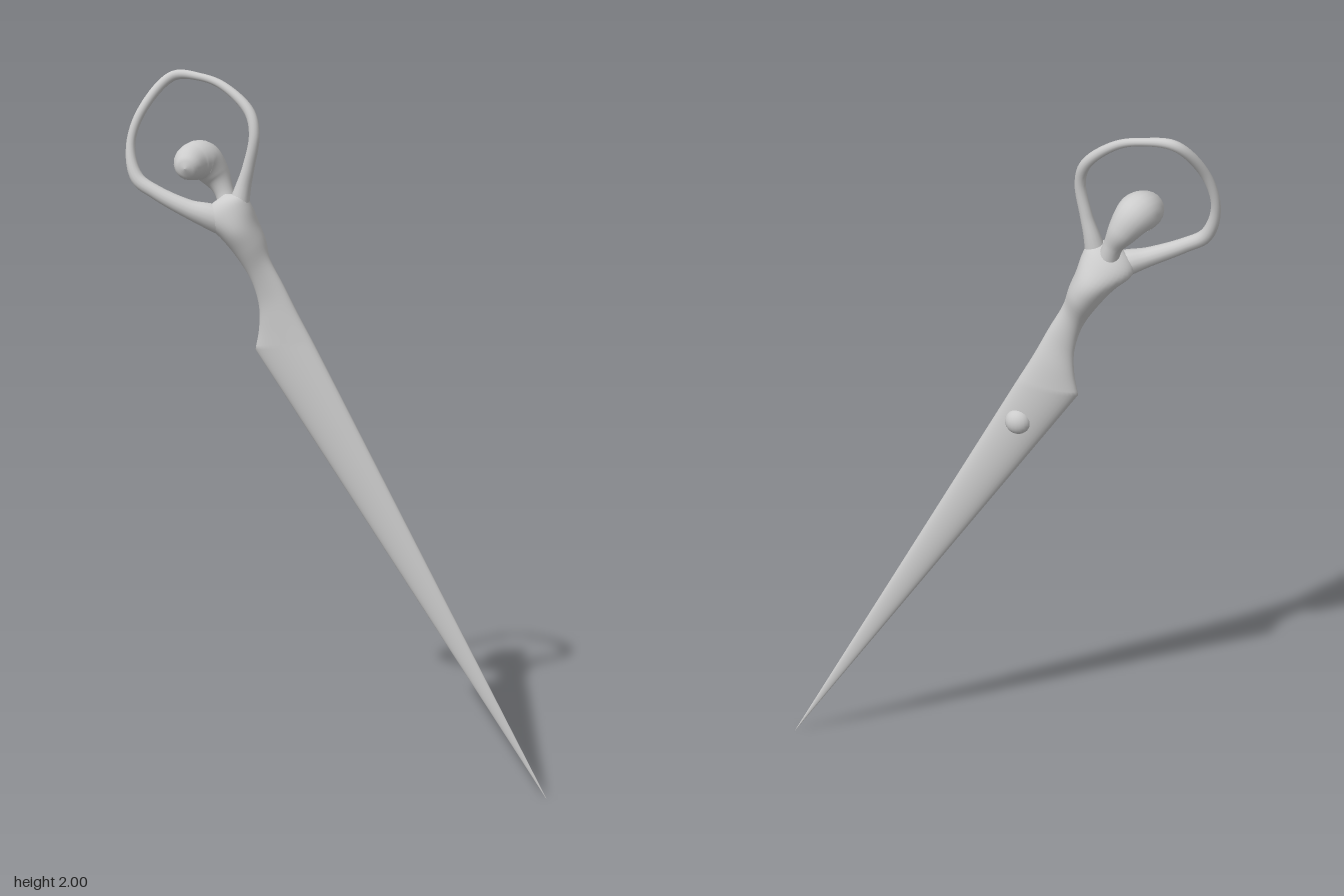
import * as THREE from 'three';
import { mergeVertices } from 'three/addons/utils/BufferGeometryUtils.js';

const V = (x, y, z) => new THREE.Vector3(x, y, z);
const material = new THREE.MeshStandardMaterial({ color: 0xcccccc });

function mesh(name, geometry) {
  const m = new THREE.Mesh(geometry, material);
  m.name = name;
  return m;
}

// Round limb through points [x, y, z, radius]
function limb(points, segments, sides) {
  const curve = new THREE.CatmullRomCurve3(points.map(p => V(p[0], p[1], p[2])));
  const radii = new THREE.CatmullRomCurve3(points.map(p => V(p[3], 0, 0)), false, 'catmullrom', 0.5);
  let g = new THREE.TubeGeometry(curve, segments, 1, sides, false);
  const pos = g.attributes.position;
  const v = V(0, 0, 0);
  for (let i = 0; i <= segments; i++) {
    const u = i / segments;
    const centre = curve.getPointAt(u);
    const r = Math.max(0.0005, radii.getPoint(curve.getUtoTmapping(u)).x);
    for (let j = 0; j <= sides; j++) {
      const k = i * (sides + 1) + j;
      v.fromBufferAttribute(pos, k).sub(centre).multiplyScalar(r).add(centre);
      pos.setXYZ(k, v.x, v.y, v.z);
    }
  }
  g.deleteAttribute('uv');
  g.deleteAttribute('normal');
  g = mergeVertices(g, 1e-5);
  g.computeVertexNormals();
  return g;
}

// Closed skin over sections [leftX, leftY, rightX, rightY, frontZ, backZ]
function loft(sections, sides) {
  const pos = [], index = [];
  sections.forEach(([lx, ly, rx, ry, zf, zb], i) => {
    for (let j = 0; j < sides; j++) {
      const a = (j / sides) * Math.PI * 2;
      const w = (1 + Math.cos(a)) / 2, s = Math.sin(a);
      pos.push(lx + (rx - lx) * w, ly + (ry - ly) * w, (zf + zb) / 2 + (zf - zb) / 2 * s);
      if (i < sections.length - 1) {
        const a0 = i * sides + j, a1 = i * sides + (j + 1) % sides;
        index.push(a0, a1, a0 + sides, a1, a1 + sides, a0 + sides);
      }
    }
  });
  const g = new THREE.BufferGeometry();
  g.setAttribute('position', new THREE.Float32BufferAttribute(pos, 3));
  g.setIndex(index);
  g.computeVertexNormals();
  return g;
}

export function createModel() {
  const group = new THREE.Group();

  // Torso from the shoulders to the hip corner, smoothed between sections
  const torso = [
    [-0.325, 1.665, -0.320, 1.667, 0.005, 0.000],
    [-0.375, 1.625, -0.270, 1.665, 0.035, -0.040],
    [-0.385, 1.585, -0.250, 1.635, 0.050, -0.070],
    [-0.340, 1.545, -0.235, 1.585, 0.050, -0.092],
    [-0.295, 1.490, -0.218, 1.540, 0.030, -0.085],
    [-0.255, 1.425, -0.202, 1.485, 0.005, -0.058],
    [-0.236, 1.355, -0.165, 1.415, -0.008, -0.056],
    [-0.238, 1.290, -0.125, 1.335, -0.010, -0.065],
    [-0.250, 1.230, -0.078, 1.250, -0.010, -0.070],
  ];
  const left = new THREE.CatmullRomCurve3(torso.map(s => V(s[0], s[1], s[4])), false, 'catmullrom', 0.5);
  const right = new THREE.CatmullRomCurve3(torso.map(s => V(s[2], s[3], s[5])), false, 'catmullrom', 0.5);
  const sections = [];
  for (let i = 0; i <= 40; i++) {
    const l = left.getPoint(i / 40), r = right.getPoint(i / 40);
    sections.push([l.x, l.y, r.x, r.y, l.z, r.z]);
  }
  // Long straight taper down to the point
  const hip = torso[torso.length - 1];
  const tip = [0.601, 0.001, 0.602, 0.001, -0.016, -0.018];
  for (let i = 1; i <= 10; i++) {
    sections.push(hip.map((h, k) => h + (tip[k] - h) * i / 10));
  }
  group.add(mesh('bodyAndTaper', loft(sections, 32)));

  // Raised arms joined overhead in a ring
  group.add(mesh('arms', limb([
    [-0.300, 1.580, 0.000, 0.040],
    [-0.360, 1.605, 0.015, 0.036],
    [-0.420, 1.625, 0.025, 0.026],
    [-0.515, 1.668, 0.025, 0.020],
    [-0.572, 1.705, 0.018, 0.019],
    [-0.597, 1.790, 0.000, 0.013],
    [-0.573, 1.885, -0.025, 0.013],
    [-0.500, 1.980, -0.080, 0.014],
    [-0.415, 1.980, -0.070, 0.011],
    [-0.340, 1.957, -0.050, 0.012],
    [-0.258, 1.890, -0.025, 0.015],
    [-0.240, 1.830, -0.010, 0.015],
    [-0.257, 1.740, -0.008, 0.017],
    [-0.274, 1.680, -0.008, 0.023],
    [-0.292, 1.600, 0.000, 0.036],
  ], 120, 14)));

  // Head with the hair sweeping back into the neck
  group.add(mesh('headAndNeck', limb([
    [-0.405, 1.742, 0.096, 0.000],
    [-0.405, 1.743, 0.089, 0.024],
    [-0.406, 1.746, 0.070, 0.038],
    [-0.406, 1.755, 0.030, 0.051],
    [-0.390, 1.756, -0.010, 0.054],
    [-0.360, 1.715, -0.032, 0.041],
    [-0.335, 1.670, -0.030, 0.027],
    [-0.315, 1.610, -0.020, 0.030],
  ], 48, 20)));

  // Small swelling on the back below the hip
  const bump = mesh('backBump', new THREE.SphereGeometry(0.036, 20, 14));
  bump.scale.set(1, 1, 0.85);
  bump.position.set(-0.088, 1.14, -0.057);
  group.add(bump);

  return group;
}
